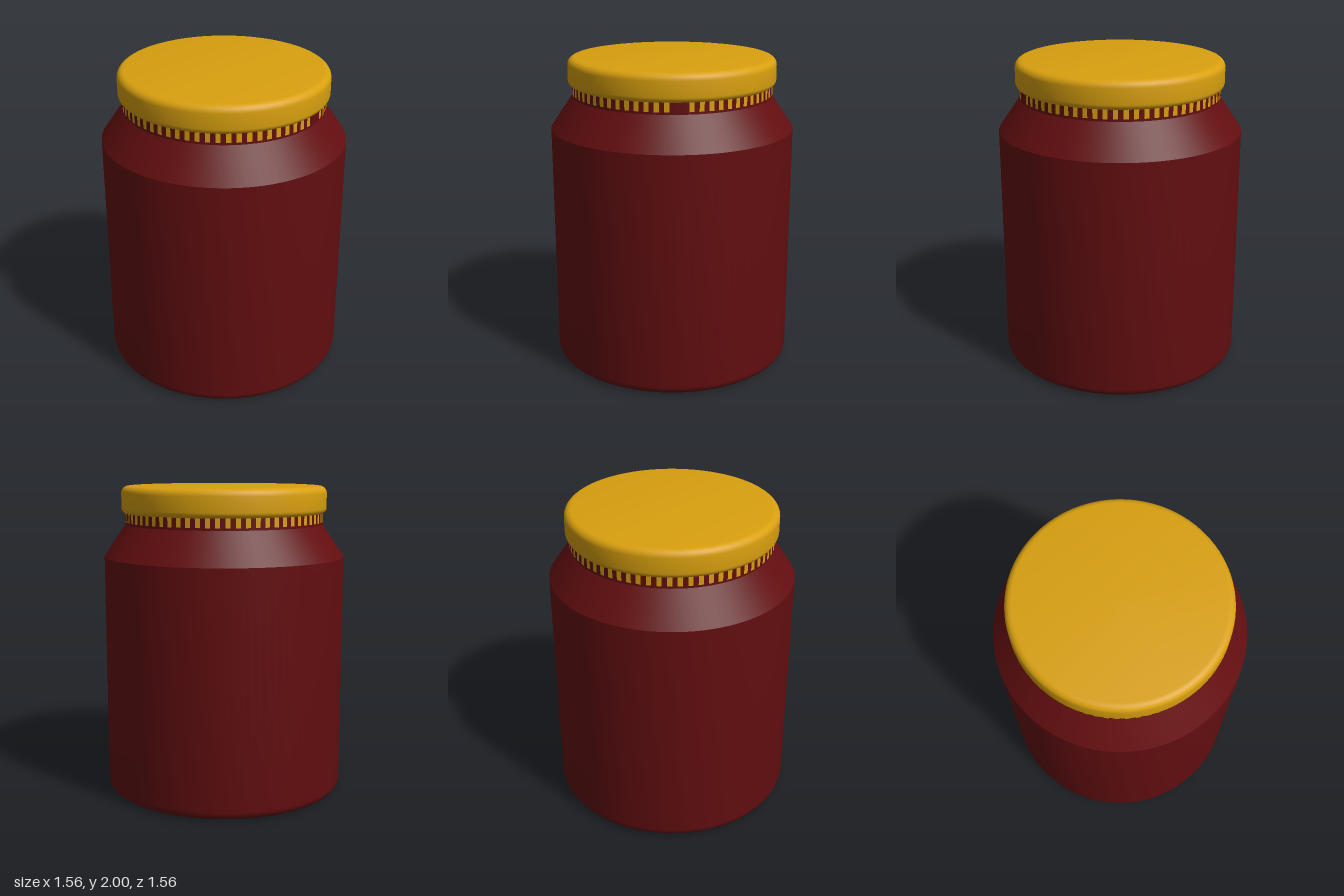
import * as THREE from 'three';
import { mergeGeometries, toCreasedNormals } from 'three/addons/utils/BufferGeometryUtils.js';

const SEGMENTS = 96;

// Rounded quarter-circle corner points for a lathe profile
function corner(cx, cy, r, from, to, steps = 6) {
  return Array.from({ length: steps + 1 }, (_, i) => {
    const a = from + ((to - from) * i) / steps;
    return new THREE.Vector2(cx + r * Math.cos(a), cy + r * Math.sin(a));
  });
}

// Lathe with smooth sides and sharp shoulder edges
function turned(name, points, material) {
  const geometry = toCreasedNormals(new THREE.LatheGeometry(points, SEGMENTS), 0.45);
  const mesh = new THREE.Mesh(geometry, material);
  mesh.name = name;
  return mesh;
}

export function createModel() {
  const model = new THREE.Group();
  model.name = 'jar';
  const red = new THREE.MeshStandardMaterial({ color: 0x630e10 });
  red.name = 'dark red';
  const gold = new THREE.MeshStandardMaterial({ color: 0xd9a00f });
  gold.name = 'golden yellow';
  const v = (x, y) => new THREE.Vector2(x, y);

  // Body: rounded base, straight wall, sloped shoulder and neck
  model.add(turned('body', [
    v(0, 0),
    ...corner(0.72, 0.06, 0.06, -Math.PI / 2, 0),
    v(0.78, 1.55), v(0.64, 1.755), v(0.64, 1.85), v(0, 1.85),
  ], red));

  // Lid: flat disc with rounded rims
  model.add(turned('lid', [
    v(0, 1.825),
    ...corner(0.63, 1.86, 0.035, -Math.PI / 2, 0),
    ...corner(0.62, 1.955, 0.045, 0, Math.PI / 2),
    v(0, 2),
  ], gold));

  // Seal ring: thin upright marks round the neck, with a gap on the left side
  const count = 65, margin = 0.115, width = 0.047;
  const step = (Math.PI * 2 - margin * 2) / (count - 1);
  const marks = [];
  for (let i = 0; i < count; i++) {
    const angle = Math.PI / 2 + margin + i * step;
    const mark = new THREE.CylinderGeometry(0.643, 0.643, 0.06, 2, 1, true, angle - width / 2, width);
    marks.push(mark.translate(0, 1.8, 0));
  }
  const ring = new THREE.Mesh(mergeGeometries(marks), gold);
  ring.name = 'sealMarks';
  model.add(ring);

  return model;
}
